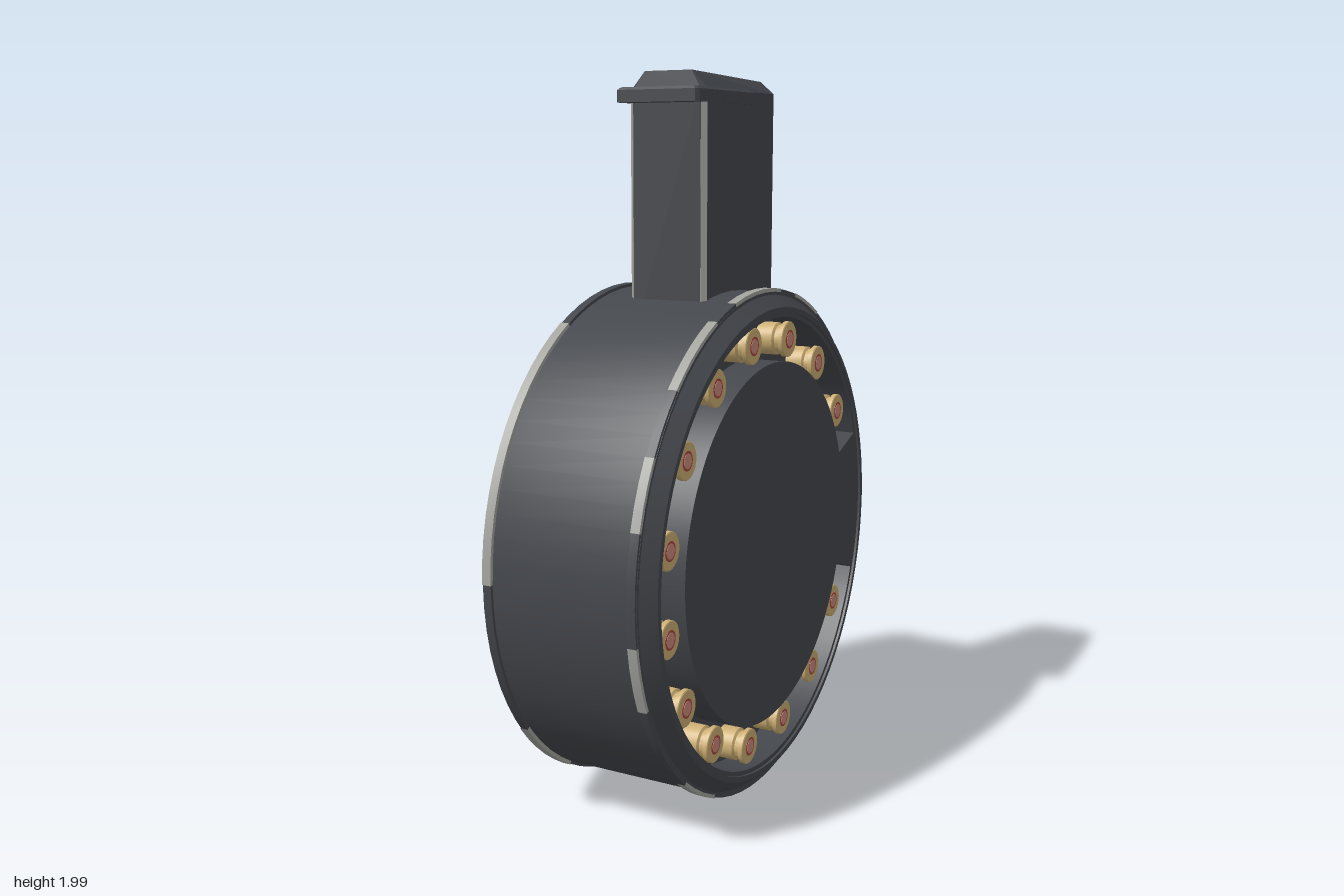
import * as THREE from 'three';
import { toCreasedNormals } from 'three/addons/utils/BufferGeometryUtils.js';
import { ConvexGeometry } from 'three/addons/geometries/ConvexGeometry.js';

const CY = 0.717; // height of the drum axis
const R = 0.71;
const rad = THREE.MathUtils.degToRad;
const paint = (color) => new THREE.MeshStandardMaterial({ color });
const dark = paint(0x44474c);
const steel = paint(0xa3a39e);
const brass = paint(0xcdaf74);
const red = paint(0xa8443e);
const copper = paint(0xc98a7c);

function add(parent, name, geometry, material, x = 0, y = 0, z = 0) {
  const mesh = new THREE.Mesh(geometry, material);
  mesh.name = name;
  mesh.position.set(x, y, z);
  parent.add(mesh);
  return mesh;
}

// Turned solid about the x axis; profile holds [radius, x] from low x to high x
function turned(profile, segments = 72, start = 0, length = Math.PI * 2) {
  const pts = profile.map(([r, x]) => new THREE.Vector2(r, x));
  const g = new THREE.LatheGeometry(pts, segments, start, length).rotateZ(-Math.PI / 2);
  return toCreasedNormals(g, 0.35);
}

// Box spanning x0..x1 and y0..y1, z0..z1 with its vertical corners cut by c
function prismPoints(x0, x1, z0, z1, y, c, cb = c) {
  return [[x0 + c, z1], [x1 - c, z1], [x1, z1 - c], [x1, z0 + cb], [x1 - cb, z0],
    [x0 + cb, z0], [x0, z0 + cb], [x0, z1 - c]].map(([x, z]) => new THREE.Vector3(x, y, z));
}

export function createModel() {
  const model = new THREE.Group();
  model.name = 'drumMagazine';
  const drum = new THREE.Group();
  drum.name = 'drum';
  drum.position.y = CY;
  model.add(drum);

  // Drum shell with stepped cover on one side and a recessed pan on the other
  add(drum, 'drumShell', turned([
    [0, -0.25], [0.36, -0.25], [0.59, -0.23], [0.605, -0.192], [0.655, -0.192], [0.692, -0.155],
    [0.7, -0.13], [0.7, 0.29], [0.692, 0.29], [0.66, 0.325], [0.645, 0.325], [0.645, 0.22], [0, 0.22],
  ]), dark);

  // Rims, with worn bright stretches [start, end] in degrees from the top towards the front
  const rims = [
    { x: -0.143, worn: [[-45, -38], [-15, -8], [28, 90], [128, 150], [185, 200], [232, 250], [276, 290]] },
    { x: 0.277, worn: [[-88, -73], [-30, -16], [-8, 15], [24, 45], [60, 75], [98, 113], [140, 156], [195, 212], [238, 256]] },
  ];
  for (const { x, worn } of rims) {
    const ring = (r, h) => [[0.69, x - h], [r, x - h], [r, x + h], [0.69, x + h]];
    add(drum, 'rim', turned(ring(R - 0.002, 0.012)), dark);
    for (const [a, b] of worn) {
      add(drum, 'wornRim', turned(ring(R, 0.0128), Math.ceil((b - a) / 5), rad(a - 90), rad(b - a)), steel);
    }
  }

  // Face plate with the C-shaped cartridge window
  const plate = new THREE.Shape().absarc(0, 0, 0.648, 0, Math.PI * 2);
  const slot = new THREE.Path();
  slot.absarc(0, 0, 0.632, rad(20), rad(340), false);
  slot.absarc(0, 0, 0.51, rad(340), rad(20), true);
  slot.closePath();
  plate.holes.push(slot);
  const plateGeo = new THREE.ExtrudeGeometry(plate, { depth: 0.096, bevelEnabled: false, curveSegments: 64 });
  plateGeo.rotateY(Math.PI / 2);
  add(drum, 'facePlate', toCreasedNormals(plateGeo, 0.35), dark, 0.222);

  // Cartridge heads in the window
  const caseGeo = turned([[0.046, -0.09], [0.046, -0.035], [0.039, -0.03], [0.039, -0.018],
    [0.05, -0.014], [0.05, -0.002], [0.047, 0], [0, 0]], 24);
  const ringGeo = turned([[0.026, -0.002], [0.026, 0.001], [0, 0.001]], 20);
  const primerGeo = turned([[0.02, -0.002], [0.02, 0.002], [0, 0.002]], 20);
  for (let i = 0; i < 14; i++) {
    const a = rad(31.7 + (i * 296.6) / 13);
    const cartridge = new THREE.Group();
    cartridge.name = 'cartridge';
    cartridge.position.set(0.305, Math.sin(a) * 0.574, -Math.cos(a) * 0.574);
    add(cartridge, 'case', caseGeo, brass);
    add(cartridge, 'primerRing', ringGeo, red);
    add(cartridge, 'primer', primerGeo, copper);
    drum.add(cartridge);
  }

  // Six radial ribs on the cover
  for (let i = 0; i < 6; i++) {
    const rib = new THREE.Group();
    rib.name = 'coverRib';
    rib.rotation.x = (i * Math.PI) / 3;
    add(rib, 'rib', new THREE.BoxGeometry(0.02, 0.18, 0.026), dark, -0.243, 0.45, 0);
    drum.add(rib);
  }

  // Winding key: stepped disc and rounded bar
  add(drum, 'keyDisc', turned([[0, -0.302], [0.1, -0.302], [0.122, -0.29], [0.122, -0.24]], 40), steel);
  const bar = new THREE.Shape();
  bar.absarc(0.13, 0, 0.012, -Math.PI / 2, Math.PI / 2);
  bar.absarc(-0.13, 0, 0.012, Math.PI / 2, Math.PI * 1.5);
  const barGeo = new THREE.ExtrudeGeometry(bar, {
    depth: 0.044, bevelThickness: 0.008, bevelSize: 0.008, bevelSegments: 2, curveSegments: 8,
  });
  // lay the bar along z, its flat faces up and down
  barGeo.translate(0, 0, -0.022).rotateX(Math.PI / 2).rotateY(Math.PI / 2);
  add(drum, 'keyBar', toCreasedNormals(barGeo, 0.6), steel, -0.315);

  // Latch at the foot of the cover
  const latch = new THREE.Shape();
  [[-0.045, -0.018], [-0.03, -0.033], [0.03, -0.033], [0.045, -0.018], [0.045, 0.018],
    [0.03, 0.033], [-0.03, 0.033], [-0.045, 0.018]].forEach(([x, y], i) => (i ? latch.lineTo(x, y) : latch.moveTo(x, y)));
  const latchGeo = new THREE.ExtrudeGeometry(latch, { depth: 0.1, bevelThickness: 0.008, bevelSize: 0.006, bevelOffset: -0.006, bevelSegments: 1 });
  latchGeo.rotateY(Math.PI / 2);
  add(drum, 'latch', latchGeo, steel, -0.272, 0.063 - CY, 0);

  // Feed tower with sloped, chamfered top
  const [x0, x1, z0, z1] = [-0.047, 0.183, -0.265, 0.155];
  add(model, 'feedTower', new ConvexGeometry([
    ...prismPoints(x0, x1, z0, z1, 1.3, 0.014, 0.004),
    ...prismPoints(x0, x1, z0, z1, 1.952, 0.014, 0.004),
    ...[[0, 2, 0.15], [0.14, 2, 0.15], [0, 1.987, z0], [0.14, 1.987, z0]].map((p) => new THREE.Vector3(...p)),
  ]), dark);

  // Bright edges down the front corners of the tower
  for (const side of [-1, 1]) {
    const strip = add(model, 'towerEdge', new THREE.BoxGeometry(0.018, 0.54, 0.004), steel,
      (x0 + x1) / 2 + side * 0.1078, 1.655, z1 - 0.0072);
    strip.rotation.y = (side * Math.PI) / 4;
  }

  // Lip around the front of the tower
  add(model, 'towerLip', new ConvexGeometry([
    ...prismPoints(-0.055, 0.19, -0.12, 0.21, 1.918, 0.008),
    ...prismPoints(-0.055, 0.19, -0.12, 0.21, 1.95, 0.008),
    ...prismPoints(-0.047, 0.182, -0.114, 0.203, 1.957, 0.008),
  ]), dark);

  return model;
}
